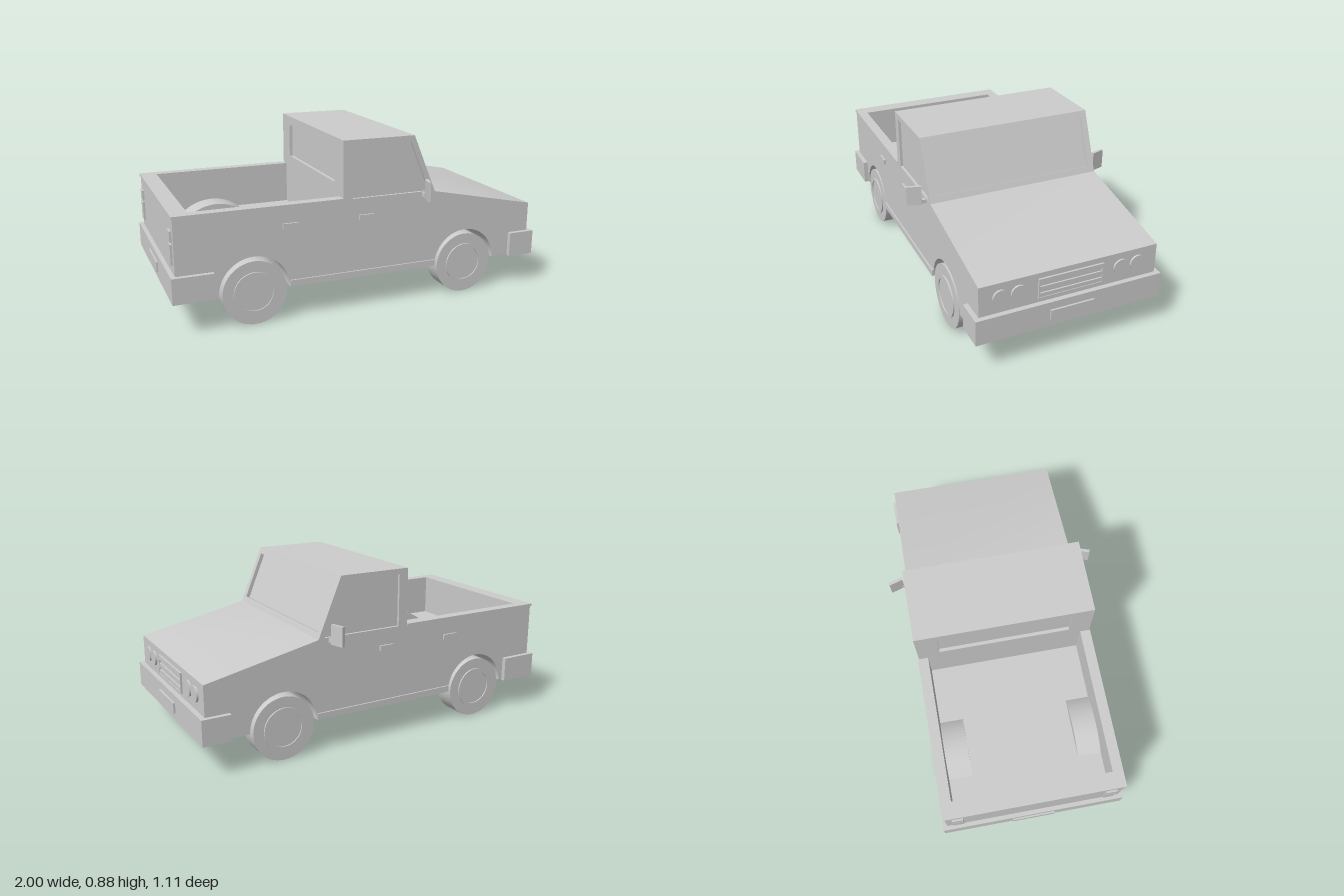
import * as THREE from 'three';
import { toCreasedNormals } from 'three/addons/utils/BufferGeometryUtils.js';

const material = new THREE.MeshStandardMaterial({ color: 0xcccccc });
const HALF = 0.459; // half width of the body
const AXLES = [-0.59, 0.57];

export function createModel() {
  const truck = new THREE.Group();
  truck.name = 'pickupTruck';

  const add = (name, geometry) => {
    const mesh = new THREE.Mesh(geometry, material);
    mesh.name = name;
    truck.add(mesh);
    return mesh;
  };
  // Box given by its lower and upper limits on each axis
  const box = (name, x0, x1, y0, y1, z0, z1) => {
    const mesh = add(name, new THREE.BoxGeometry(x1 - x0, y1 - y0, z1 - z0));
    mesh.position.set((x0 + x1) / 2, (y0 + y1) / 2, (z0 + z1) / 2);
    return mesh;
  };
  const polygon = (points) => new THREE.Shape(points.map(([x, y]) => new THREE.Vector2(x, y)));
  const rectangle = (w, y0, y1) => polygon([[-w, y0], [w, y0], [w, y1], [-w, y1]]);
  // Side profile extruded across the truck from z0 to z1
  const extrude = (name, shape, z0, z1) => {
    const geometry = new THREE.ExtrudeGeometry(shape, { depth: z1 - z0, bevelEnabled: false, curveSegments: 32 });
    const mesh = add(name, toCreasedNormals(geometry, 0.5));
    mesh.position.z = z0;
    return mesh;
  };

  // Lower body with wheel arches, hood and bed floor
  const body = new THREE.Shape();
  body.moveTo(-0.97, 0.17);
  for (const x of AXLES) {
    body.lineTo(x - 0.178, 0.17);
    body.absarc(x, 0.17, 0.178, Math.PI, 0, true);
  }
  for (const [x, y] of [[0.965, 0.17], [0.965, 0.453], [0.38, 0.575], [-0.13, 0.575], [-0.13, 0.36], [-0.97, 0.36]]) {
    body.lineTo(x, y);
  }
  extrude('lowerBody', body, -HALF, HALF);

  // Cargo bed walls, with a slightly wider rim
  box('tailgate', -0.97, -0.89, 0.36, 0.58, -HALF, HALF);
  box('tailgateRim', -0.975, -0.89, 0.575, 0.587, -0.464, 0.464);
  for (const s of [-1, 1]) {
    const side = (name, x0, x1, y0, y1, a, b) =>
      box(name, x0, x1, y0, y1, Math.min(s * a, s * b), Math.max(s * a, s * b));
    side('bedWall', -0.89, -0.13, 0.36, 0.58, 0.41, HALF);
    side('bedRim', -0.89, -0.13, 0.575, 0.587, 0.41, 0.464);

    // Wheel housing inside the bed
    const housing = new THREE.Shape();
    housing.absarc(AXLES[0], 0.165, 0.25, Math.PI / 2 - 0.674, Math.PI / 2 + 0.674, false);
    extrude('wheelHousing', housing, s > 0 ? 0.285 : -0.415, s > 0 ? 0.415 : -0.285);

    // Cab side with window opening
    const cabSide = polygon([[-0.13, 0.575], [0.38, 0.575], [0.255, 0.875], [-0.13, 0.875]]);
    cabSide.holes.push(polygon([[-0.08, 0.58], [-0.08, 0.845], [0.237, 0.845], [0.347, 0.58]]));
    extrude('cabSide', cabSide, s > 0 ? 0.444 : -HALF, s > 0 ? HALF : -0.444);

    // Sill, door and bed handles
    side('sill', -0.41, 0.39, 0.17, 0.203, 0.45, 0.467);
    side('bedHandle', -0.445, -0.365, 0.468, 0.495, 0.45, 0.469);
    side('doorHandle', -0.045, 0.032, 0.468, 0.495, 0.45, 0.469);

    // Wing mirror, swept back at its outer end
    side('mirrorArm', 0.305, 0.325, 0.556, 0.576, 0.45, 0.487);
    const mirror = side('mirror', 0.299, 0.315, 0.55, 0.65, 0.479, 0.553);
    mirror.rotation.y = -s * 0.3;

    // Tail lights
    side('upperTailLight', -0.98, -0.96, 0.453, 0.508, 0.368, 0.425);
    side('lowerTailLight', -0.98, -0.96, 0.345, 0.445, 0.368, 0.425);

    // Twin headlights
    for (const z of [0.264, 0.354]) {
      const lamp = add('headlight', new THREE.CylinderGeometry(0.039, 0.039, 0.02, 32));
      lamp.rotation.z = -Math.PI / 2;
      lamp.position.set(0.965, 0.38, s * z);
    }

    // Wheels with a raised hub ring
    const profile = [[0, -0.055], [0.162, -0.055], [0.162, 0.055], [0.107, 0.055], [0.107, 0.063],
      [0.09, 0.063], [0.09, 0.057], [0, 0.057]].map(([r, y]) => new THREE.Vector2(r, y));
    for (const x of AXLES) {
      const wheel = add('wheel', toCreasedNormals(new THREE.LatheGeometry(profile, 48), 0.5));
      wheel.rotation.x = s * Math.PI / 2;
      wheel.position.set(x, 0.162, s * 0.404);
    }
  }

  // Window panes: solid core set behind the cab frames
  extrude('windowPanes', polygon([[-0.112, 0.57], [0.36, 0.57], [0.235, 0.87], [-0.112, 0.87]]), -0.445, 0.445);
  extrude('roof', polygon([[-0.13, 0.852], [0.2646, 0.852], [0.255, 0.875], [-0.13, 0.875]]), -0.452, 0.452);

  // Windshield frame, leaning along the pillar
  const up = new THREE.Vector3(-0.125, 0.3, 0);
  const slant = up.length();
  up.normalize();
  const out = new THREE.Vector3(up.y, -up.x, 0);
  const frontFrame = rectangle(0.452, 0, slant);
  frontFrame.holes.push(rectangle(0.427, 0.033, 0.292));
  const windshield = extrude('windshieldFrame', frontFrame, 0, 0.02);
  windshield.quaternion.setFromRotationMatrix(
    new THREE.Matrix4().makeBasis(new THREE.Vector3(0, 0, -1), up, out));
  windshield.position.set(0.38, 0.575, 0).addScaledVector(out, -0.02);

  // Rear cab frame
  const backFrame = rectangle(0.452, 0.36, 0.87);
  backFrame.holes.push(rectangle(0.345, 0.645, 0.825));
  const rear = extrude('rearWindowFrame', backFrame, 0, 0.02);
  rear.rotation.y = -Math.PI / 2;
  rear.position.set(-0.11, 0, 0);

  // Bumpers and blank plates
  box('frontBumper', 0.845, 0.99, 0.168, 0.298, -0.483, 0.483);
  box('rearBumper', -0.992, -0.79, 0.168, 0.298, -0.483, 0.483);
  box('frontPlate', 0.98, 1, 0.205, 0.258, -0.114, 0.114);
  box('rearPlate', -1, -0.98, 0.205, 0.258, -0.114, 0.114);

  // Grille: rim, backing and three slats
  box('grilleTop', 0.955, 0.975, 0.418, 0.425, -0.168, 0.168);
  box('grilleBottom', 0.955, 0.975, 0.32, 0.327, -0.168, 0.168);
  for (const z of [-0.168, 0.161]) box('grilleEnd', 0.955, 0.975, 0.32, 0.425, z, z + 0.007);
  for (const y of [0.338, 0.373, 0.409]) box('grilleSlat', 0.955, 0.973, y - 0.01, y + 0.01, -0.161, 0.161);

  return truck;
}
